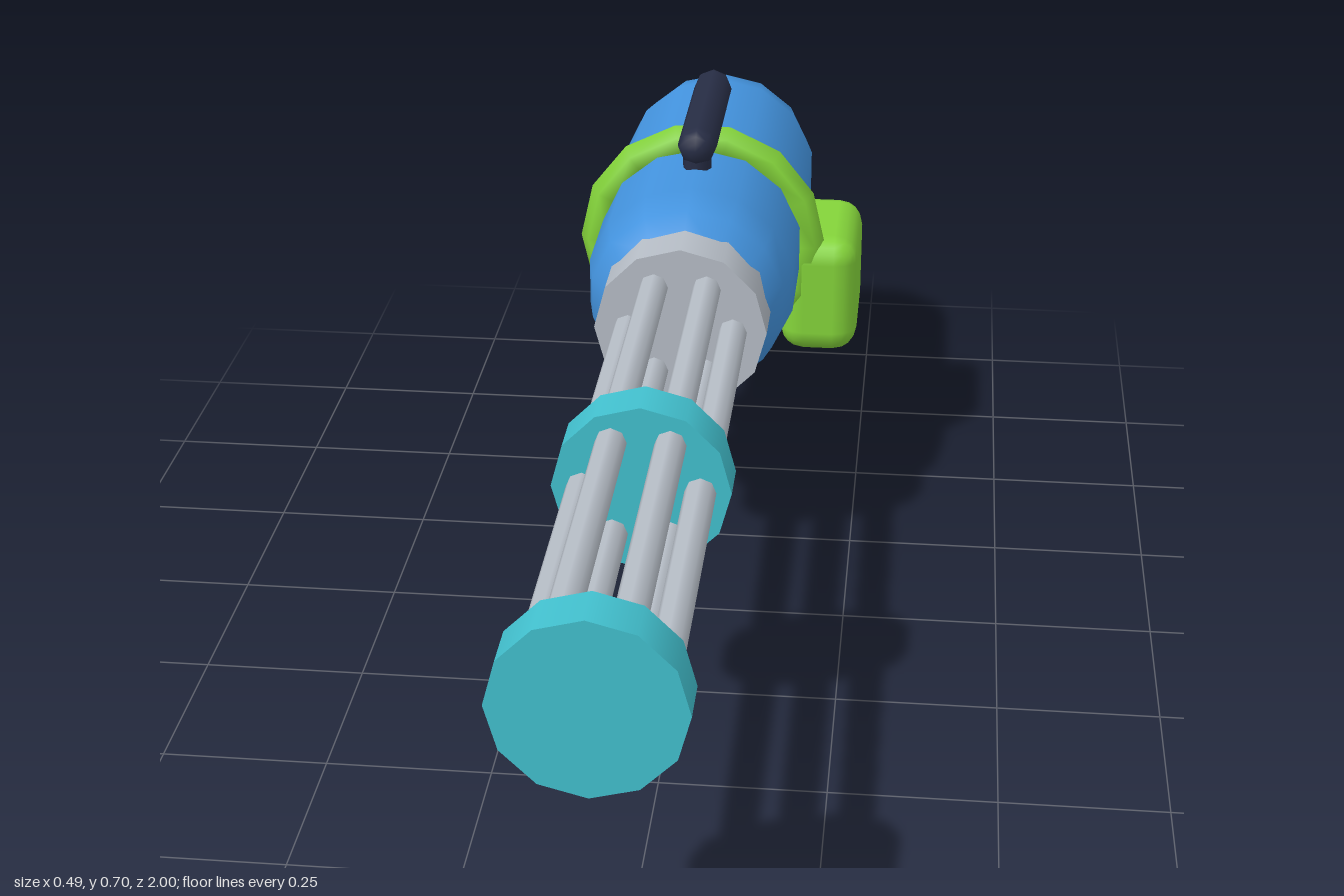
import * as THREE from 'three';
import { RoundedBoxGeometry } from 'three/addons/geometries/RoundedBoxGeometry.js';

const paint = (name, color) => {
  const m = new THREE.MeshStandardMaterial({ color });
  m.name = name;
  return m;
};

export function createModel() {
  const blue = paint('blue', 0x4393de);
  const green = paint('green', 0x84d43a);
  const teal = paint('teal', 0x42c0ce);
  const grey = paint('grey', 0xb6bdc6);
  const navy = paint('navy', 0x272d45);

  const model = new THREE.Group();
  model.name = 'waterBlaster';
  const AX = -0.03, AY = 0.455; // barrel axis

  const add = (name, geometry, material, x, y, z) => {
    const mesh = new THREE.Mesh(geometry, material);
    mesh.name = name;
    mesh.position.set(x, y, z);
    model.add(mesh);
    return mesh;
  };
  // Cylinder lying along z between two depths
  const rod = (name, r, z0, z1, sides, material, x = AX, y = AY) =>
    add(name, new THREE.CylinderGeometry(r, r, z1 - z0, sides).rotateX(Math.PI / 2),
      material, x, y, (z0 + z1) / 2);
  // Capsule lying along z between two tips, with an edge at the top
  const capsule = (name, r, z0, z1, sides, material, y) =>
    add(name, new THREE.CapsuleGeometry(r, z1 - z0 - 2 * r, 4, sides)
      .rotateY(Math.PI / 2).rotateX(Math.PI / 2), material, AX, y, (z0 + z1) / 2);

  // Body and front collar
  capsule('body', 0.175, -1, -0.115, 14, blue, AY);
  rod('collar', 0.14, -0.2, -0.11, 12, grey);

  // Six barrels held by two discs
  for (let i = 0; i < 6; i++) {
    const a = i * Math.PI / 3;
    rod('barrel', 0.023, -0.13, 0.95, 8, grey,
      AX + 0.085 * Math.cos(a), AY + 0.085 * Math.sin(a));
  }
  rod('middleDisc', 0.13, 0.36, 0.43, 12, teal);
  rod('muzzleDisc', 0.13, 0.93, 1, 12, teal);

  // Band round the body and side tank
  add('band', new THREE.TorusGeometry(0.183, 0.03, 6, 14), green, AX, AY, -0.49);
  add('sideTank', new RoundedBoxGeometry(0.135, 0.213, 0.24, 2, 0.042), green, 0.175, 0.358, -0.583);

  // Carrying handle on two posts
  capsule('carryHandle', 0.033, -0.71, -0.36, 8, navy, 0.665);
  for (const z of [-0.395, -0.68]) {
    add('handlePost', new THREE.CylinderGeometry(0.024, 0.024, 0.07, 8), navy, AX, 0.63, z);
  }

  // Raked grip and trigger guard
  const grip = add('grip', new RoundedBoxGeometry(0.08, 0.32, 0.11, 2, 0.0395), navy, AX, 0.16, -0.512);
  grip.rotation.x = 0.25;
  add('triggerGuard', new THREE.TorusGeometry(0.056, 0.014, 6, 12).rotateY(Math.PI / 2),
    navy, AX, 0.26, -0.405);

  return model;
}
